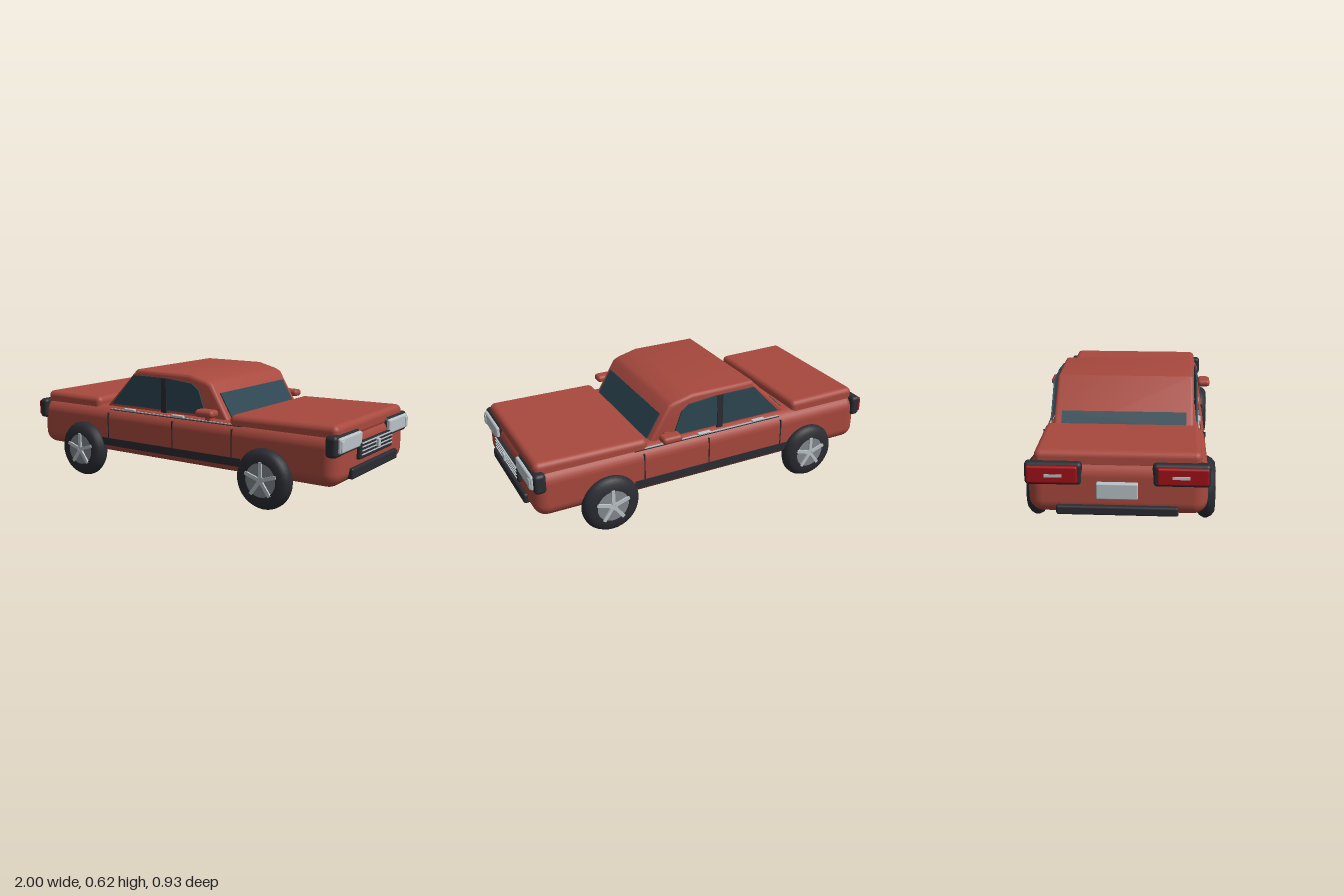
import * as THREE from 'three';
import { toCreasedNormals } from 'three/addons/utils/BufferGeometryUtils.js';
import { RoundedBoxGeometry } from 'three/addons/geometries/RoundedBoxGeometry.js';

export function createModel() {
  const car = new THREE.Group();
  car.name = 'car';
  const material = (name, color) => Object.assign(new THREE.MeshStandardMaterial({ color }), { name });
  const paint = material('red paint', 0xa8493e);
  const black = material('black trim', 0x2b2c32);
  const glass = material('tinted glass', 0x2d4652);
  const chrome = material('chrome', 0xb9c2c8);
  const rimGrey = material('rim grey', 0x83878c);
  const lampRed = material('lamp red', 0x9e1217);

  const add = (name, geometry, mat, parent = car) => {
    const mesh = new THREE.Mesh(geometry, mat);
    mesh.name = name;
    parent.add(mesh);
    return mesh;
  };
  // Box given by its limits, rounded when r > 0
  const box = (name, mat, [x0, x1], [y0, y1], [z0, z1], r = 0, parent = car) => {
    const w = x1 - x0, h = y1 - y0, d = z1 - z0;
    const geometry = r ? new RoundedBoxGeometry(w, h, d, 4, r) : new THREE.BoxGeometry(w, h, d);
    const mesh = add(name, geometry, mat, parent);
    mesh.position.set((x0 + x1) / 2, (y0 + y1) / 2, (z0 + z1) / 2);
    return mesh;
  };
  // Same box on both flanks
  const pair = (name, mat, x, y, [z0, z1], r = 0) => {
    box(name + 'Left', mat, x, y, [z0, z1], r);
    box(name + 'Right', mat, x, y, [-z1, -z0], r);
  };
  const shape = (points) => new THREE.Shape(points.map(([x, y]) => new THREE.Vector2(x, y)));

  // Body shell, bonnet and boot lid
  box('body', paint, [-0.97, 0.965], [0.15, 0.41], [-0.415, 0.415], 0.07);
  box('bonnet', paint, [0.35, 0.955], [0.365, 0.448], [-0.39, 0.39], 0.03).rotation.z = 0.012;
  box('bootLid', paint, [-0.945, -0.53], [0.365, 0.455], [-0.385, 0.385], 0.03).rotation.z = -0.01;

  // Cabin with softened edges
  const cabinShape = shape([[-0.54, 0.365], [0.35, 0.365], [0.22, 0.582], [0.19, 0.597], [0.08, 0.625], [-0.28, 0.625]]);
  const cabin = new THREE.ExtrudeGeometry(cabinShape, {
    depth: 0.676, bevelEnabled: true, bevelThickness: 0.02, bevelSize: 0.02, bevelOffset: -0.02, bevelSegments: 4,
  });
  cabin.translate(0, 0, -0.338);
  add('cabin', toCreasedNormals(cabin, 0.6), paint);

  // Windscreen and rear window lying on the cabin slopes
  const slopeGlass = (name, [x0, y0], [x1, y1]) => {
    const length = Math.hypot(x1 - x0, y1 - y0);
    const pane = add(name, new THREE.BoxGeometry(length, 0.009, 0.635), glass);
    pane.position.set((x0 + x1) / 2, (y0 + y1) / 2, 0);
    pane.rotation.z = Math.atan2(y1 - y0, x1 - x0);
  };
  slopeGlass('windscreen', [0.25, 0.535], [0.345, 0.376]);
  slopeGlass('rearWindow', [-0.505, 0.4], [-0.43, 0.476]);

  // Side windows and the pillar between them
  const sideWindows = [
    ['rearSideWindow', [[-0.44, 0.425], [-0.09, 0.425], [-0.09, 0.597], [-0.28, 0.597]]],
    ['frontSideWindow', [[-0.055, 0.425], [0.2, 0.425], [0.155, 0.55], [0.11, 0.582], [-0.055, 0.597]]],
  ];
  for (const [name, points] of sideWindows) {
    for (const side of [1, -1]) {
      const pane = new THREE.ExtrudeGeometry(shape(points), { depth: 0.008, bevelEnabled: false });
      pane.translate(0, 0, side > 0 ? 0.37 : -0.378);
      add(name + (side > 0 ? 'Left' : 'Right'), pane, glass);
    }
  }
  pair('pillar', black, [-0.089, -0.056], [0.41, 0.595], [0.369, 0.38]);
  pair('mirror', paint, [0.19, 0.3], [0.428, 0.467], [0.395, 0.465], 0.018);
  pair('mirrorArm', paint, [0.22, 0.25], [0.405, 0.445], [0.36, 0.41]);

  // Flank trim: sills, door seams, waist strips and handles
  pair('sill', black, [-0.49, 0.44], [0.193, 0.235], [0.39, 0.42]);
  for (const x of [-0.44, 0.01, 0.385]) {
    pair('doorSeam', black, [x - 0.003, x + 0.003], [0.23, 0.378], [0.4, 0.417]);
  }
  pair('waistStrip', chrome, [-0.44, 0.43], [0.394, 0.399], [0.375, 0.389]);
  pair('waistShadowStrip', black, [-0.44, 0.43], [0.387, 0.394], [0.38, 0.393]);
  for (const x of [-0.305, 0.027]) {
    pair('doorHandle', chrome, [x - 0.038, x + 0.038], [0.398, 0.409], [0.375, 0.396], 0.004);
  }

  // Front lamps, grille and bumper
  pair('headlampHousing', black, [0.907, 0.968], [0.305, 0.411], [0.16, 0.428], 0.02);
  pair('headlamp', chrome, [0.95, 0.982], [0.325, 0.4], [0.168, 0.405], 0.01);
  pair('indicator', chrome, [0.97, 0.987], [0.332, 0.388], [0.371, 0.4], 0.005);
  box('grille', black, [0.95, 0.985], [0.26, 0.346], [-0.195, 0.195], 0.01);
  for (const y of [0.284, 0.303, 0.322, 0.34]) {
    box('grilleBar', chrome, [0.98, 0.99], [y - 0.0025, y + 0.0025], [-0.183, 0.183]);
  }
  box('grillePlate', chrome, [0.98, 1], [0.295, 0.335], [-0.014, 0.014], 0.003);
  box('frontBumper', black, [0.95, 0.985], [0.178, 0.232], [-0.272, 0.272], 0.01);

  // Rear lamps, number plate and bumper
  pair('tailLampHousing', black, [-0.977, -0.92], [0.3, 0.411], [0.16, 0.425], 0.02);
  pair('tailLamp', lampRed, [-0.99, -0.955], [0.315, 0.398], [0.18, 0.415], 0.01);
  pair('reversingLamp', chrome, [-0.994, -0.985], [0.348, 0.362], [0.25, 0.33]);
  box('numberPlate', chrome, [-0.995, -0.96], [0.245, 0.322], [-0.095, 0.095], 0.006);
  box('rearBumper', black, [-0.992, -0.955], [0.163, 0.207], [-0.28, 0.28], 0.01);

  // Wheels: lathed tyre, rim drum, five spokes and a hub
  const tyreProfile = [[0.086, -0.043], [0.125, -0.043], [0.143, -0.028], [0.154, -0.008],
    [0.154, 0.008], [0.143, 0.028], [0.125, 0.043], [0.086, 0.043], [0.086, -0.043]];
  const tyreGeometry = toCreasedNormals(
    new THREE.LatheGeometry(tyreProfile.map(([r, y]) => new THREE.Vector2(r, y)), 36).rotateX(Math.PI / 2), 0.7);
  const disc = (r, z0, z1) =>
    new THREE.CylinderGeometry(r, r, z1 - z0, 32).rotateX(Math.PI / 2).translate(0, 0, (z0 + z1) / 2);
  for (const x of [-0.62, 0.583]) {
    for (const side of [1, -1]) {
      const wheel = new THREE.Group();
      wheel.name = (x > 0 ? 'front' : 'rear') + 'Wheel' + (side > 0 ? 'Left' : 'Right');
      wheel.position.set(x, 0.155, side * 0.417);
      wheel.rotation.y = side > 0 ? 0 : Math.PI;
      add('tyre', tyreGeometry, black, wheel);
      add('rim', disc(0.087, -0.035, 0.038), rimGrey, wheel);
      add('hub', disc(0.02, 0.03, 0.046), chrome, wheel);
      for (let i = 0; i < 5; i++) {
        const spoke = add('spoke', new THREE.BoxGeometry(0.018, 0.085, 0.014).translate(0, 0.05, 0.041), chrome, wheel);
        spoke.rotation.z = (i * Math.PI * 2) / 5;
      }
      car.add(wheel);
    }
  }
  return car;
}
